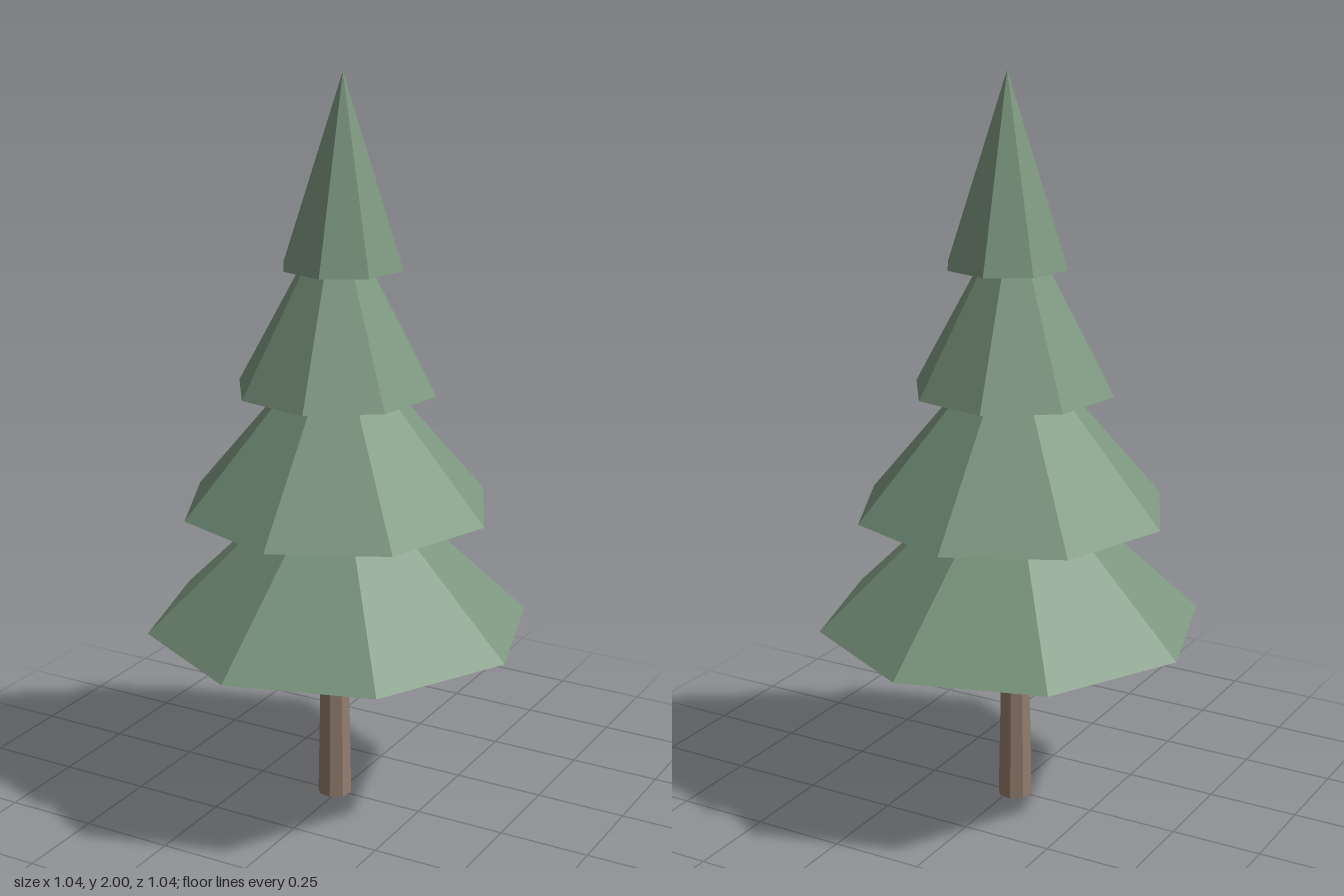
import * as THREE from 'three';

export function createModel() {
  const tree = new THREE.Group();
  tree.name = 'pineTree';

  const needles = new THREE.MeshStandardMaterial({ color: 0x7b967e, flatShading: true });
  needles.name = 'needleGreen';
  const bark = new THREE.MeshStandardMaterial({ color: 0x927e6e, flatShading: true });
  bark.name = 'barkBrown';

  // Tapered trunk, its top hidden inside the lowest branches
  const trunkHeight = 0.6;
  const trunk = new THREE.Mesh(new THREE.CylinderGeometry(0.036, 0.048, trunkHeight, 8), bark);
  trunk.name = 'trunk';
  trunk.position.set(-0.014, trunkHeight / 2, -0.001);
  trunk.rotation.y = THREE.MathUtils.degToRad(12);
  tree.add(trunk);

  // Four stacked eight-sided cones, each slightly off centre and turned
  const tierHeight = 0.5;
  const tiers = [
    { radius: 0.522, x: 0, z: 0, turn: 39.5 },
    { radius: 0.425, x: -0.014, z: -0.017, turn: 3.2 },
    { radius: 0.273, x: -0.0125, z: -0.0075, turn: 11.1 },
    { radius: 0.166, x: 0.004, z: -0.0125, turn: 7.8 },
  ];
  tiers.forEach(({ radius, x, z, turn }, i) => {
    const tier = new THREE.Mesh(new THREE.ConeGeometry(radius, tierHeight, 8), needles);
    tier.name = `branchTier${i + 1}`;
    tier.position.set(x, 0.516 + i * 0.328 + tierHeight / 2, z);
    tier.rotation.y = THREE.MathUtils.degToRad(turn);
    tree.add(tier);
  });

  return tree;
}
